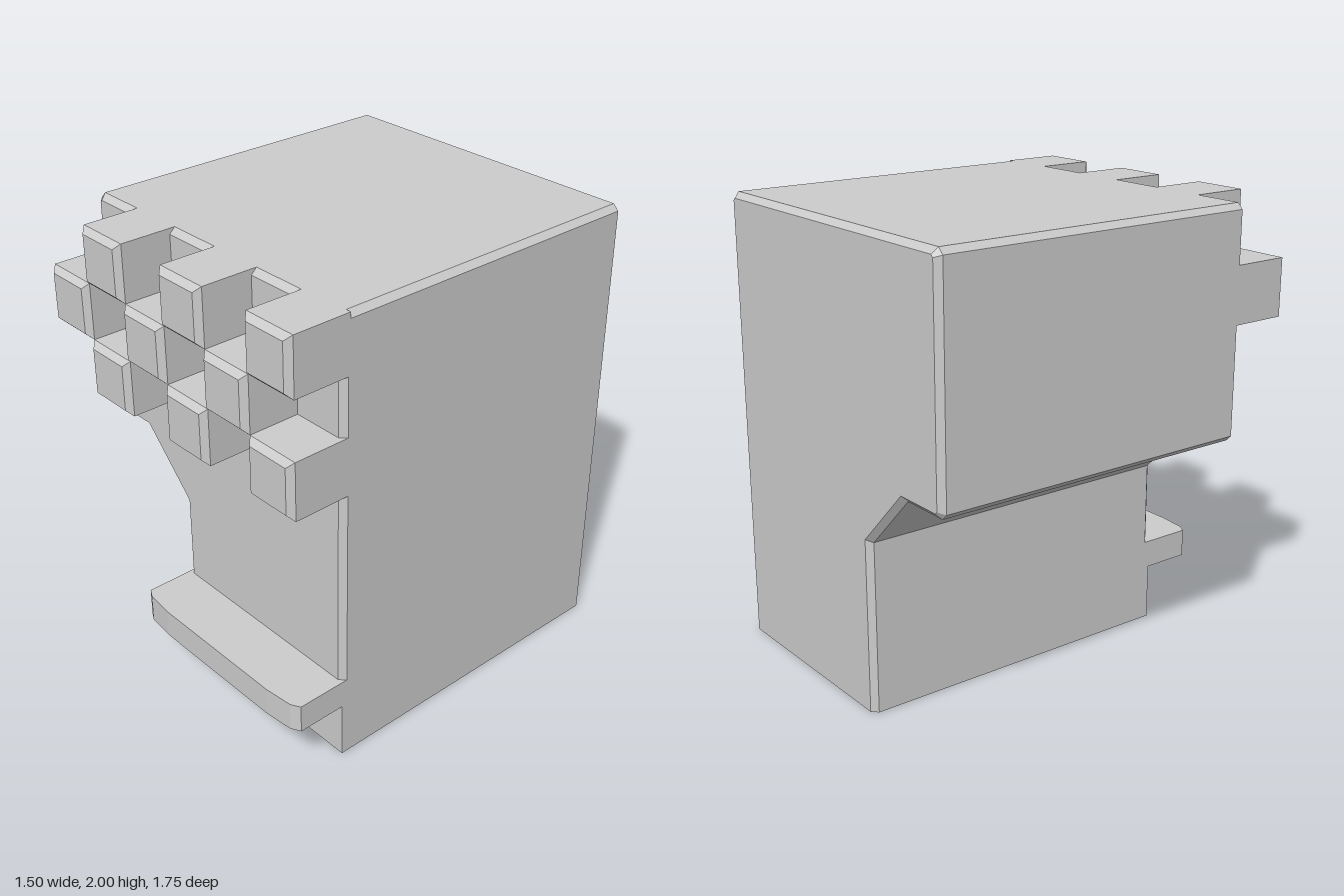
import * as THREE from 'three';

const C = 0.025; // chamfer size

function outline(points) {
  return new THREE.Shape(points.map(([x, y]) => new THREE.Vector2(x, y)));
}

// Box from z0 to z1 whose front face has chamfered edges
function chamferedBlock(size, z0, z1) {
  const geo = new THREE.BoxGeometry(size, size, 1, 1, 1, 2);
  const p = geo.attributes.position;
  const k = (size - 2 * C) / size;
  for (let i = 0; i < p.count; i++) {
    const z = p.getZ(i);
    if (z > 0.25) p.setXYZ(i, p.getX(i) * k, p.getY(i) * k, z1);
    else p.setZ(i, z < -0.25 ? z0 : z1 - C);
  }
  geo.computeVertexNormals();
  return geo;
}

export function createModel() {
  const group = new THREE.Group();
  const material = new THREE.MeshStandardMaterial({ color: 0xcccccc, flatShading: true });
  const add = (name, geo, x = 0, y = 0, z = 0) => {
    const mesh = new THREE.Mesh(geo, material);
    mesh.name = name;
    mesh.position.set(x, y, z);
    group.add(mesh);
  };

  // Main body: side profile with an overhang on one side, chamfered edges
  const bodyGeo = new THREE.ExtrudeGeometry(outline([
    [-0.25, -0.2], [0.75, -0.2], [0.75, 2 - C], [0.75 - C, 2],
    [-0.75 + C, 2], [-0.75, 2 - C], [-0.75, 1 + C], [-0.75 + C, 1],
    [-0.5, 1], [-0.25, 0.75],
  ]), {
    depth: 1.5 - 2 * C, bevelEnabled: true, bevelSegments: 1,
    bevelSize: C, bevelThickness: C, bevelOffset: -C,
  });
  bodyGeo.translate(0, 0, -0.875 + C);
  // Cut the underside flat so its edges stay sharp
  const p = bodyGeo.attributes.position;
  for (let i = 0; i < p.count; i++) p.setY(i, Math.max(0, p.getY(i)));
  bodyGeo.computeVertexNormals();
  add('body', bodyGeo);

  // Square-edged foot at the front of the base
  add('foot', new THREE.BoxGeometry(1, 0.36, 0.2), 0.25, 0.18, 0.525);

  // Ledge with eased front corners
  const half = [[0.5, 0.84], [0.46, 0.862], [0.33, 0.875]];
  const ledgeGeo = new THREE.ExtrudeGeometry(outline([
    [0.5, -0.58], [-0.5, -0.58],
    ...half.map(([x, z]) => [-x, -z]),
    ...half.map(([x, z]) => [x, -z]).reverse(),
  ]), { depth: 0.125, bevelEnabled: false });
  ledgeGeo.rotateX(-Math.PI / 2);
  add('ledge', ledgeGeo, 0.25, 0.25, 0);

  // Checkerboard of protruding blocks
  const blockGeo = chamferedBlock(0.25, 0.59, 0.875);
  for (let row = 0; row < 3; row++) {
    for (let i = 0; i < 3; i++) {
      const x = (row === 1 ? -0.625 : -0.375) + i * 0.5;
      add('checkerBlock', blockGeo, x, 1.875 - row * 0.25, 0);
    }
  }

  return group;
}
